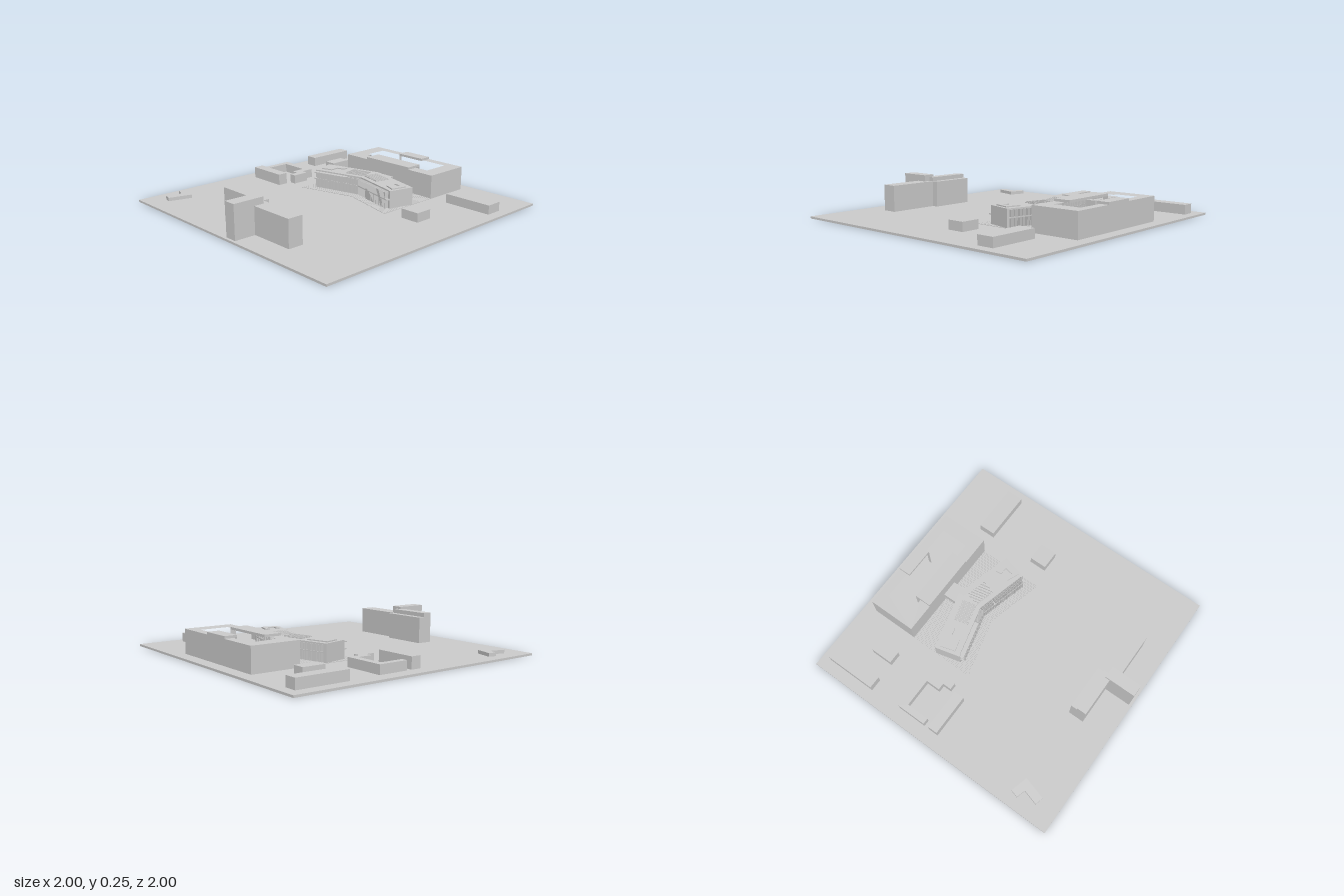
import * as THREE from 'three';
import { mergeGeometries } from 'three/addons/utils/BufferGeometryUtils.js';

const GROUND = 0.015;
const ANGLE = Math.atan2(0.11, 0.43);
const COS = Math.cos(ANGLE), SIN = Math.sin(ANGLE), TAN = SIN / COS;
const END = 0.444; // wing length along its back edge

// Upright prism over an x/z outline, with optional hole outline
function prism(points, y0, y1, hole) {
  const toShape = (p) => p.map(([x, z]) => new THREE.Vector2(x, -z));
  const shape = new THREE.Shape(toShape(points));
  if (hole) shape.holes.push(new THREE.Path(toShape(hole)));
  const g = new THREE.ExtrudeGeometry(shape, { depth: y1 - y0, bevelEnabled: false });
  return g.rotateX(-Math.PI / 2).translate(0, y0, 0);
}

const rect = (x0, x1, z0, z1) => [[x0, z0], [x1, z0], [x1, z1], [x0, z1]];
const block = (x0, x1, z0, z1, y0, y1) => prism(rect(x0, x1, z0, z1), y0, y1);

// Wing coordinates: u runs outward from the bend, v from back to front
const wing = (u, v, side) => [side * (u * COS - v * SIN), -0.46 + u * SIN + v * COS];
const wingRect = (u0, u1, v0, v1, side) =>
  [wing(u0, v0, side), wing(u1, v0, side), wing(u1, v1, side), wing(u0, v1, side)];

// Symmetrical bent outline with its kink on x = 0
function chevron(u, v0, v1) {
  return [wing(u, v0, -1), wing(v0 * TAN, v0, 1), wing(u, v0, 1),
    wing(u, v1, 1), wing(v1 * TAN, v1, 1), wing(u, v1, -1)];
}

// Row of thin upright fins along a wing
function fins(out, u0, u1, v0, v1, y0, y1, side, step = 0.007) {
  for (let u = u0; u < u1; u += step) {
    out.push(prism(wingRect(u, u + 0.002, v0, v1, side), y0, y1));
  }
}

export function createModel() {
  const model = new THREE.Group();
  const material = new THREE.MeshStandardMaterial({ color: 0xcccccc });
  const add = (name, geometries, parent = model) => {
    const list = Array.isArray(geometries) ? geometries : [geometries];
    const mesh = new THREE.Mesh(list.length > 1 ? mergeGeometries(list) : list[0], material);
    mesh.name = name;
    parent.add(mesh);
  };

  add('sitePlate', block(-1, 1, -1, 1, 0, GROUND));

  // Plain surrounding blocks: x0, x1, z0, z1, height
  [
    ['northWestLongBlock', -0.915, -0.825, -0.93, -0.55, 0.085],
    ['northWestSmallBlock', -0.69, -0.6, -0.72, -0.555, 0.08],
    ['northEastBlock', 0.56, 0.925, -0.69, -0.568, 0.08],
    ['eastBlock', 0.56, 0.7, -0.22, -0.092, 0.08],
    ['westRowBlock', -0.9, -0.595, -0.05, 0.025, 0.098],
    ['slabBlockFront', -0.23, 0.1, 0.715, 0.785, 0.237],
    ['slabBlockRear', -0.23, 0.1, 0.67, 0.715, 0.207],
    ['slabBlockEast', 0.1, 0.48, 0.715, 0.825, 0.207],
    ['tower', 0.06, 0.15, 0.75, 0.98, 0.254],
  ].forEach(([name, x0, x1, z0, z1, h]) => add(name, block(x0, x1, z0, z1, GROUND, h)));

  add('westCourtBlock', prism([[-0.9, -0.31], [-0.595, -0.31], [-0.595, -0.215], [-0.545, -0.215],
    [-0.545, -0.09], [-0.595, -0.09], [-0.595, -0.155], [-0.645, -0.155], [-0.645, -0.26],
    [-0.855, -0.26], [-0.855, -0.09], [-0.9, -0.09]], GROUND, 0.08));
  add('smallAngledBlock', prism([[-0.905, 0.66], [-0.78, 0.695], [-0.825, 0.86], [-0.885, 0.845],
    [-0.855, 0.735], [-0.92, 0.715]], GROUND, 0.04));

  // Large courtyard building with two raised sections
  const court = new THREE.Group();
  court.name = 'courtyardBuilding';
  model.add(court);
  add('courtyardRing', prism(rect(-0.43, 0.43, -0.91, -0.555), GROUND, 0.19,
    [[-0.32, -0.845], [-0.115, -0.845], [-0.115, -0.82], [0.113, -0.82], [0.113, -0.845],
      [0.317, -0.845], [0.317, -0.64], [0.21, -0.64], [0.21, -0.68], [-0.217, -0.68],
      [-0.217, -0.64], [-0.287, -0.64], [-0.287, -0.68], [-0.32, -0.68]]), court);
  add('raisedFrontSection', block(-0.217, 0.21, -0.68, -0.555, 0.19, 0.207), court);
  add('raisedRearSection', block(-0.115, 0.113, -0.91, -0.82, 0.19, 0.207), court);

  // Paving laid as narrow strips, with a stepped front edge
  const strips = [];
  const width = 0.86 / 86;
  for (let i = 0; i < 86; i++) {
    const x = -0.43 + i * width;
    const front = -0.175 + 0.26 * Math.abs(x + width / 2);
    strips.push(block(x, x + width * 0.85, -0.555, front, GROUND, 0.018));
  }
  add('pavingStrips', strips);

  // Bent main building
  const main = new THREE.Group();
  main.name = 'bentBuilding';
  model.add(main);
  add('core', prism(chevron(END - 0.01, 0.015, 0.17), GROUND, 0.136), main);
  add('middleFloorSlab', prism(chevron(END, 0, 0.215), 0.08, 0.087), main);
  add('roofSlab', prism(chevron(END, 0, 0.185), 0.135, 0.145), main);
  add('endWalls', [-1, 1].map((s) => prism(wingRect(END - 0.02, END, 0, 0.19, s), GROUND, 0.145)), main);
  add('leftLedge', prism(wingRect(0.16, END, 0.18, 0.217, -1), 0.128, 0.135), main);

  // Facade fins on both floors, front and back
  const front = [], back = [], columns = [];
  for (const side of [-1, 1]) {
    for (const [y0, y1] of [[GROUND, 0.08], [0.087, 0.133]]) {
      fins(front, 0.056, 0.152, 0.17, 0.215, y0, y1, side);
      fins(front, 0.165, END - 0.022, 0.17, 0.215, y0, y1, side);
      fins(back, 0.066, END - 0.022, 0.002, 0.015, y0, y1, side);
    }
    for (let i = 0; i < 8; i++) {
      const u = 0.158 + i * 0.037;
      columns.push(prism(wingRect(u, u + 0.005, 0.17, 0.217, side), GROUND, 0.08));
    }
  }
  add('frontFins', front, main);
  add('backFins', back, main);
  add('frontColumns', columns, main);

  // Roof structures
  add('centreRoofPanel', prism(chevron(0.2, 0.04, 0.15), 0.145, 0.15), main);
  const slats = [];
  for (const side of [-1, 1]) fins(slats, 0.042, 0.198, 0.045, 0.145, 0.15, 0.154, side, 0.006);
  add('centreRoofSlats', slats, main);
  add('rightRoofPanel', prism([[-0.4, -0.32], [-0.24, -0.365], [-0.235, -0.32], [-0.29, -0.305],
    [-0.285, -0.24], [-0.37, -0.215]], 0.145, 0.153), main);
  add('leftRoofPanel', prism([[0.295, -0.345], [0.4, -0.315], [0.37, -0.2], [0.285, -0.235],
    [0.3, -0.25], [0.345, -0.24], [0.355, -0.3], [0.3, -0.305]], 0.145, 0.153), main);

  // Bridge to the courtyard building, with finned sides
  const bridgeFins = [];
  for (let z = -0.552; z < -0.45; z += 0.006) {
    for (const x of [-0.06, 0.055]) bridgeFins.push(block(x, x + 0.005, z, z + 0.002, 0.054, 0.1));
  }
  add('bridge', [block(-0.055, 0.055, -0.556, -0.43, 0.05, 0.104),
    block(-0.06, 0.06, -0.556, -0.43, 0.1, 0.105),
    block(-0.06, 0.06, -0.556, -0.43, 0.049, 0.054)], main);
  add('bridgeFins', bridgeFins, main);

  return model;
}
